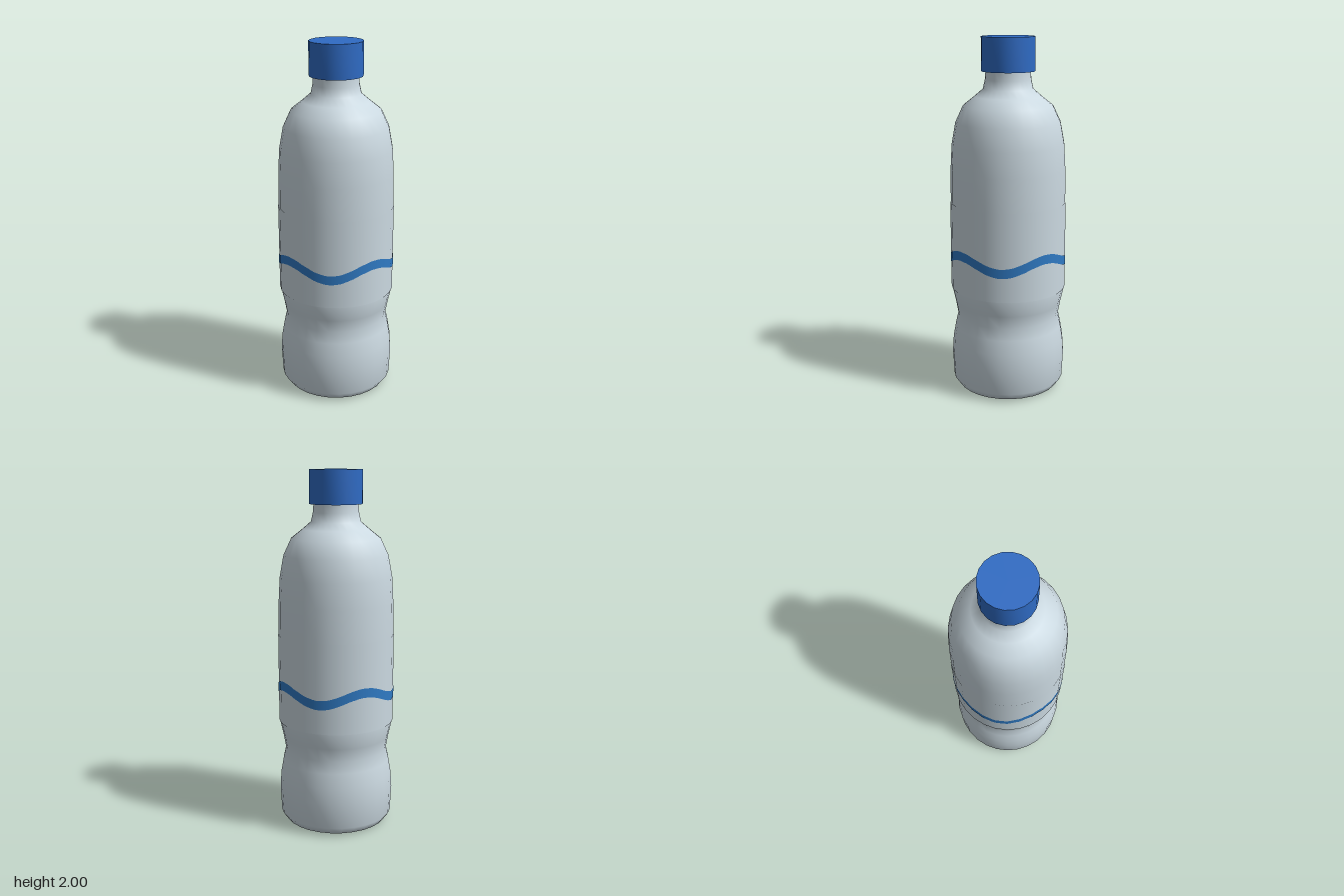
import * as THREE from 'three';
import { toCreasedNormals } from 'three/addons/utils/BufferGeometryUtils.js';

const SIDES = 28;
const LABEL_R = 0.325;

const plastic = new THREE.MeshStandardMaterial({ name: 'pale plastic', color: 0xcbd9e1 });
const capBlue = new THREE.MeshStandardMaterial({ name: 'cap blue', color: 0x2f6bc4 });
const waveBlue = new THREE.MeshStandardMaterial({ name: 'wave blue', color: 0x2f7ac4, side: THREE.DoubleSide });

const lathe = (points, sides) =>
  new THREE.LatheGeometry(points.map(([r, y]) => new THREE.Vector2(r, y)), sides);

// Wavy ribbon lying just above the faceted label
function waveGeometry() {
  const steps = SIDES * 4, step = (Math.PI * 2) / SIDES;
  const positions = [], normals = [], index = [];
  for (let i = 0; i <= steps; i++) {
    const a = (i / steps) * Math.PI * 2;
    const withinFacet = ((i % 4) / 4 - 0.5) * step;
    const r = ((LABEL_R + 0.002) * Math.cos(step / 2)) / Math.cos(withinFacet);
    const y = 0.795 + 0.031 * Math.sin(4 * a);
    for (const h of [-0.026, 0.026]) {
      positions.push(r * Math.sin(a), y + h, r * Math.cos(a));
      normals.push(Math.sin(a), 0, Math.cos(a));
    }
    if (i < steps) {
      const k = i * 2;
      index.push(k, k + 2, k + 1, k + 1, k + 2, k + 3);
    }
  }
  const g = new THREE.BufferGeometry();
  g.setAttribute('position', new THREE.Float32BufferAttribute(positions, 3));
  g.setAttribute('normal', new THREE.Float32BufferAttribute(normals, 3));
  g.setIndex(index);
  return g;
}

export function createModel() {
  const group = new THREE.Group();
  group.name = 'bottle';
  const add = (name, geometry, material) => {
    const mesh = new THREE.Mesh(geometry, material);
    mesh.name = name;
    group.add(mesh);
  };

  // Body with rounded foot, pinched waist, domed shoulder and neck
  add('body', lathe([
    [0, 0.005], [0.2, 0.005], [0.287, 0.014], [0.317, 0.055], [0.324, 0.2], [0.318, 0.29],
    [0.304, 0.37], [0.289, 0.436], [0.302, 0.51], [0.322, 0.6], [0.322, 1.1], [0.32, 1.28],
    [0.312, 1.42], [0.29, 1.54], [0.248, 1.63], [0.185, 1.68], [0.138, 1.72], [0.127, 1.77],
    [0.123, 1.82], [0.123, 1.95],
  ], SIDES), plastic);

  // Label sleeve
  add('label', lathe([[LABEL_R - 0.003, 0.6], [LABEL_R, 0.601], [LABEL_R, 1.099], [LABEL_R - 0.003, 1.1]]
    .slice(1, 3), SIDES), plastic);
  add('labelWave', waveGeometry(), waveBlue);

  // Hollow screw cap
  add('cap', toCreasedNormals(lathe([
    [0, 1.97], [0.136, 1.97], [0.136, 1.815], [0.147, 1.815], [0.147, 2], [0, 2],
  ], 20), 0.6), capBlue);

  return group;
}
